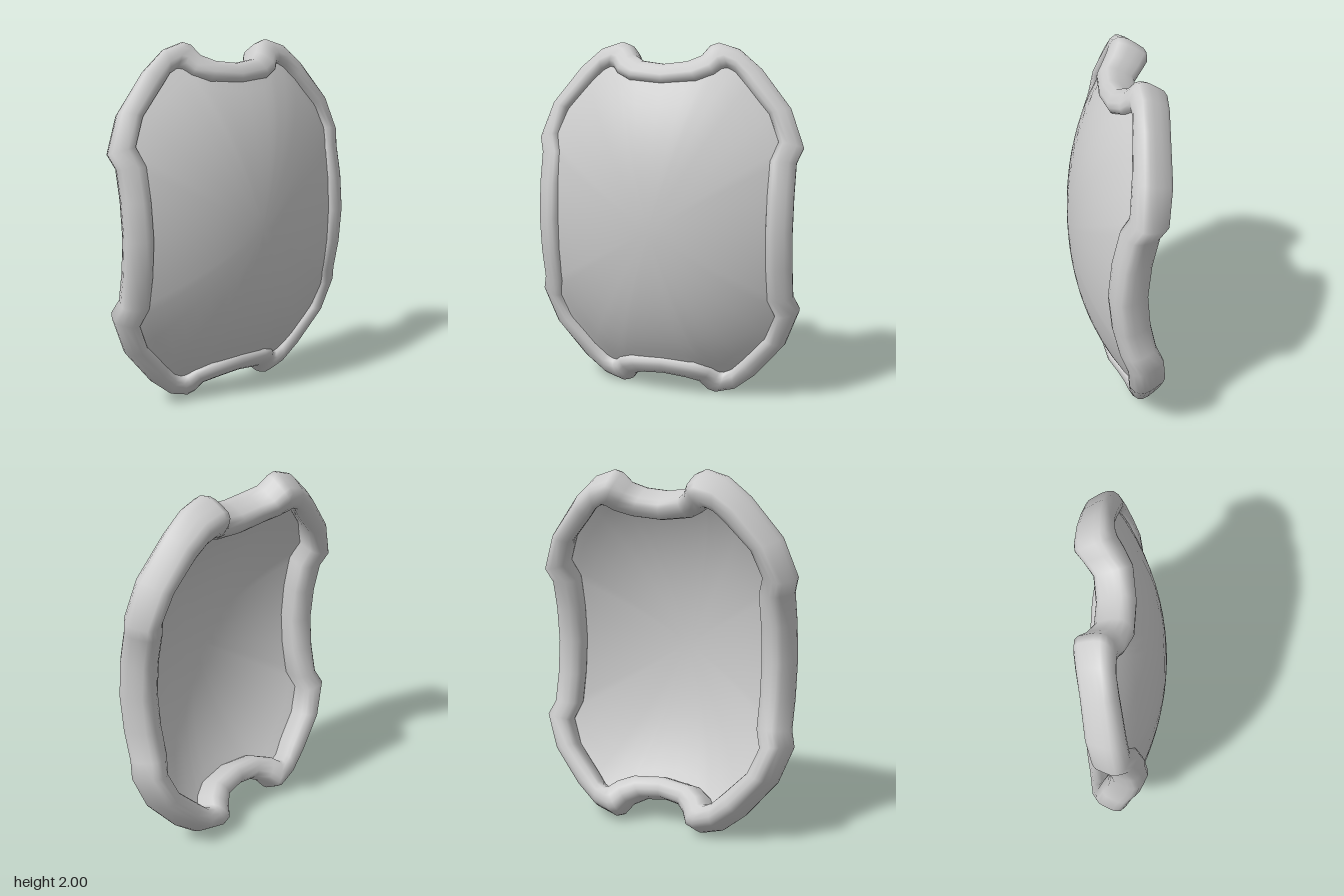
import * as THREE from 'three';

// One quarter of the rim: [outer x, outer y, inner x, inner y, front z, back z],
// heights measured from the middle of the shield
const QUARTER = [
  [0, 0.885, 0, 0.775, 0.06, -0.138],
  [0.13, 0.9, 0.18, 0.793, 0.045, -0.15],
  [0.195, 0.93, 0.265, 0.825, 0.0, -0.2],
  [0.235, 0.985, 0.3, 0.858, -0.03, -0.24],
  [0.28, 1.0, 0.33, 0.865, -0.04, -0.243],
  [0.4, 0.965, 0.385, 0.84, -0.042, -0.233],
  [0.53, 0.86, 0.45, 0.775, -0.03, -0.217],
  [0.7, 0.655, 0.595, 0.62, 0.0, -0.2],
  [0.78, 0.45, 0.655, 0.47, 0.02, -0.172],
  [0.75, 0.37, 0.62, 0.375, 0.06, -0.135],
  [0.75, 0.2, 0.62, 0.2, 0.1, -0.1],
  [0.75, 0, 0.62, 0, 0.12, -0.083],
];

// Rim section: [inner 0 to outer 1, back -1 to front 1]
const SECTION = [
  [1.01, 0.25], [0.91, 0.5], [0.63, 0.78], [0.23, 0.99], [0, 1], [-0.145, 0.88],
  [-0.19, 0.5], [-0.185, 0], [-0.145, -0.4], [0, -0.68], [0.3, -0.9],
  [0.625, -1], [0.84, -0.97], [0.975, -0.8], [1.025, -0.4], [1.05, -0.05],
];

const mirror = (rows, sx, sy) => rows.slice(1, -1).reverse()
  .map(([a, b, c, d, f, k]) => [a * sx, b * sy, c * sx, d * sy, f, k]);

// Full clockwise loop from the mirrored quarter
function rimLoop() {
  const right = [...QUARTER, ...mirror(QUARTER, 1, -1)];
  const [a, b, c, d, f, k] = QUARTER[0];
  right.push([a, -b, c, -d, f, k]);
  return [...right, ...mirror(right, -1, 1)];
}

// Depth of the domed panel
const dome = (x, y) =>
  0.238 - 0.38 * x * x - 0.24 * y * y - 0.12 * y ** 4 - 0.14 * x * x * y * y;

function gridGeometry(points, index) {
  const geometry = new THREE.BufferGeometry();
  geometry.setAttribute('position', new THREE.Float32BufferAttribute(points, 3));
  geometry.setIndex(index);
  geometry.computeVertexNormals();
  return geometry;
}

// Section swept around the loop, leaning along the dome's normal
function rimGeometry(loop) {
  const sides = SECTION.length, points = [], index = [], n = loop.length;
  loop.forEach(([xo, yo, xi, yi, front, back], i) => {
    const x = (xo + xi) / 2, y = (yo + yi) / 2;
    const slopeX = 0.76 * x, slopeY = 0.48 * y + 0.48 * y ** 3;
    SECTION.forEach(([t, w], j) => {
      const lean = 0.065 * (w - 0.3);
      points.push(
        xi + (xo - xi) * t + lean * slopeX,
        1 + yi + (yo - yi) * t + lean * slopeY,
        (front + back) / 2 + (w * (front - back)) / 2,
      );
      const i2 = (i + 1) % n, j2 = (j + 1) % sides;
      const a = i * sides + j, b = i2 * sides + j, c = i * sides + j2, d = i2 * sides + j2;
      index.push(a, c, b, b, c, d);
    });
  });
  return gridGeometry(points, index);
}

// Domed sheet whose edge is tucked inside the rim
function panelGeometry(loop, offset) {
  const rings = 10, points = [0, 1, dome(0, 0) + offset], index = [], n = loop.length;
  for (let k = 1; k <= rings; k++) {
    loop.forEach(([xo, yo, xi, yi], i) => {
      const s = k / rings;
      const x = s * (xi + (xo - xi) * 0.35), y = s * (yi + (yo - yi) * 0.35);
      points.push(x, 1 + y, dome(x, y) + offset);
      const i2 = (i + 1) % n, outer = 1 + (k - 1) * n, inner = outer - n;
      if (k === 1) index.push(0, outer + i2, outer + i);
      else index.push(inner + i, inner + i2, outer + i, inner + i2, outer + i2, outer + i);
    });
  }
  return gridGeometry(points, index);
}

export function createModel() {
  const group = new THREE.Group();
  group.name = 'shield';
  const loop = rimLoop();
  const solid = new THREE.MeshStandardMaterial({ color: 0xcccccc });
  const sheet = new THREE.MeshStandardMaterial({ color: 0xcccccc, side: THREE.DoubleSide });
  const add = (name, geometry, material) => {
    const mesh = new THREE.Mesh(geometry, material);
    mesh.name = name;
    group.add(mesh);
  };
  add('rim', rimGeometry(loop), solid);
  add('frontPanel', panelGeometry(loop, 0), sheet);
  add('backPanel', panelGeometry(loop, -0.013), sheet);
  return group;
}
